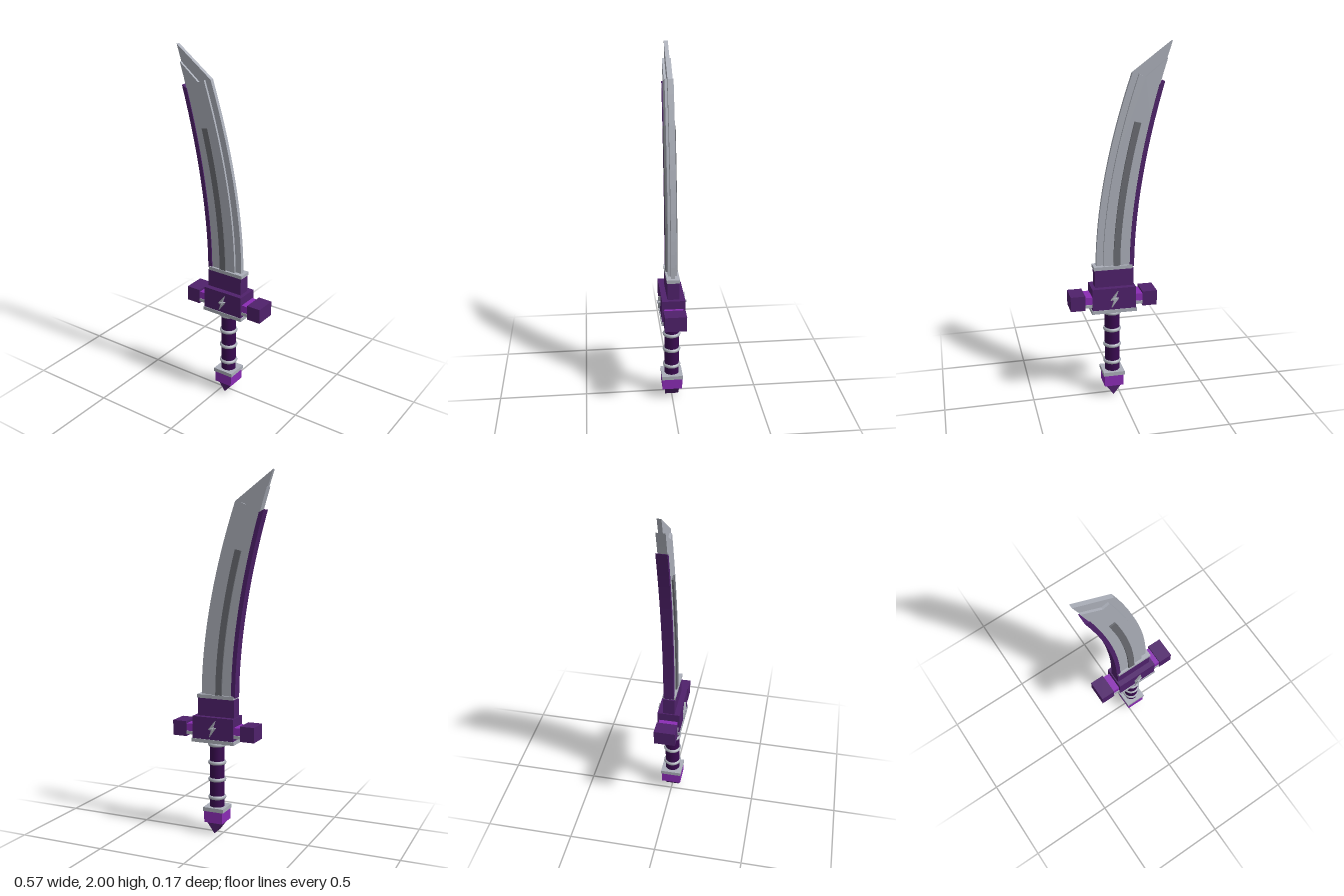
import * as THREE from 'three';

const mat = (name, color, side = THREE.FrontSide) => {
  const m = new THREE.MeshStandardMaterial({ color, side });
  m.name = name;
  return m;
};

export function createModel() {
  const silver = mat('silver steel', 0xabafb9);
  const grey = mat('dark steel', 0x6a6c72);
  const purple = mat('deep purple', 0x4f216b);
  const bright = mat('bright purple', 0x8a2cb4);
  const wrap = mat('grip purple', 0x390a50);

  const root = new THREE.Group();
  root.name = 'curvedSword';
  const CX = 0.04; // handle axis

  const add = (name, geo, material, x = 0, y = 0, z = 0, parent = root) => {
    const m = new THREE.Mesh(geo, material);
    m.name = name;
    m.position.set(x, y, z);
    parent.add(m);
    return m;
  };
  // Box given by its extents in x and y and its half depth
  const box = (name, x0, x1, y0, y1, hz, material) =>
    add(name, new THREE.BoxGeometry(x1 - x0, y1 - y0, hz * 2), material, (x0 + x1) / 2, (y0 + y1) / 2);
  // Outline extruded evenly to both sides of z = 0
  const plate = (name, pts, hz, material) => {
    const shape = new THREE.Shape(pts.map(p => new THREE.Vector2(p[0], p[1])));
    const geo = new THREE.ExtrudeGeometry(shape, { depth: hz * 2, bevelEnabled: false });
    geo.translate(0, 0, -hz);
    return add(name, geo, material);
  };

  // Backward sweep shared by all blade edges
  const BASE = 0.78, N = 14;
  const edge = (x0, sweep) => y => x0 - sweep * Math.pow(Math.max(0, (y - 0.79) / 1.05), 1.8);
  // Band between two swept edges, with optional extra points across its top
  const band = (name, left, right, yl, yr, hz, material, top = []) => {
    const pts = [];
    for (let i = 0; i <= N; i++) {
      const y = BASE + (yr - BASE) * i / N;
      pts.push([right(y), y]);
    }
    pts.push(...top);
    for (let i = N; i >= 0; i--) {
      const y = BASE + (yl - BASE) * i / N;
      pts.push([left(y), y]);
    }
    return plate(name, pts, hz, material);
  };

  // Blade
  const back = edge(-0.06, 0.174);
  band('cuttingEdge', back, edge(0.13, 0.2), 2.0, 1.84, 0.011, silver);
  band('bladeBody', back, edge(0.093, 0.198), 1.913, 1.835, 0.024, silver, [[-0.14, 1.82]]);
  band('bladeInlay', edge(0.0, 0.19), edge(0.037, 0.19), 1.58, 1.588, 0.033, grey);
  band('spineStrip', edge(-0.08, 0.175), edge(-0.056, 0.174), 1.795, 1.78, 0.029, purple);

  // Guard
  box('bladeCollar', -0.07, 0.148, 0.77, 0.79, 0.036, silver);
  box('upperGuard', -0.077, 0.142, 0.67, 0.77, 0.033, purple);
  box('guardBlock', -0.083, 0.163, 0.545, 0.67, 0.064, purple);
  box('guardPlate', -0.088, 0.167, 0.525, 0.545, 0.068, silver);
  for (const s of [-1, 1]) {
    const span = (a, b) => (s > 0 ? [CX + a, CX + b] : [CX - b, CX - a]);
    box('crossBar', ...span(0.1, 0.18), 0.58, 0.622, 0.053, bright);
    box('crossBarTrim', ...span(0.1, 0.18), 0.562, 0.58, 0.057, silver);
    box('crossBarEnd', ...span(0.163, 0.245), 0.55, 0.635, 0.06, purple);
  }

  // Zigzag ornament on both faces of the guard
  const zigzag = new THREE.Shape([
    [0.02, 0.048], [-0.022, -0.004], [-0.003, -0.004], [-0.017, -0.048],
    [0.024, 0.008], [0.005, 0.008],
  ].map(p => new THREE.Vector2(...p)));
  for (const turn of [0, Math.PI]) {
    const g = new THREE.Group();
    g.name = turn ? 'backOrnament' : 'frontOrnament';
    g.position.set(CX, 0.607, 0);
    g.rotation.y = turn;
    const geo = new THREE.ExtrudeGeometry(zigzag, { depth: 0.016, bevelEnabled: false });
    add('zigzag', geo, silver, 0, 0, 0.06, g);
    add('zigzagCentre', new THREE.BoxGeometry(0.018, 0.012, 0.02), silver, 0, 0.002, 0.073, g);
    root.add(g);
  }

  // Grip with rings
  add('grip', new THREE.CylinderGeometry(0.042, 0.042, 0.39, 24), wrap, CX, 0.335);
  for (const y of [0.508, 0.405, 0.308, 0.205]) {
    const ring = new THREE.TorusGeometry(0.04, 0.0115, 8, 24);
    ring.rotateX(Math.PI / 2);
    add('gripRing', ring, silver, CX, y);
  }

  // Pommel
  box('pommelPlate', CX - 0.061, CX + 0.061, 0.13, 0.152, 0.06, silver);
  box('pommelBlock', CX - 0.055, CX + 0.055, 0.065, 0.13, 0.057, bright);
  plate('pommelPoint', [[CX - 0.049, 0.066], [CX, 0], [CX + 0.049, 0.066]], 0.039, purple);

  return root;
}
